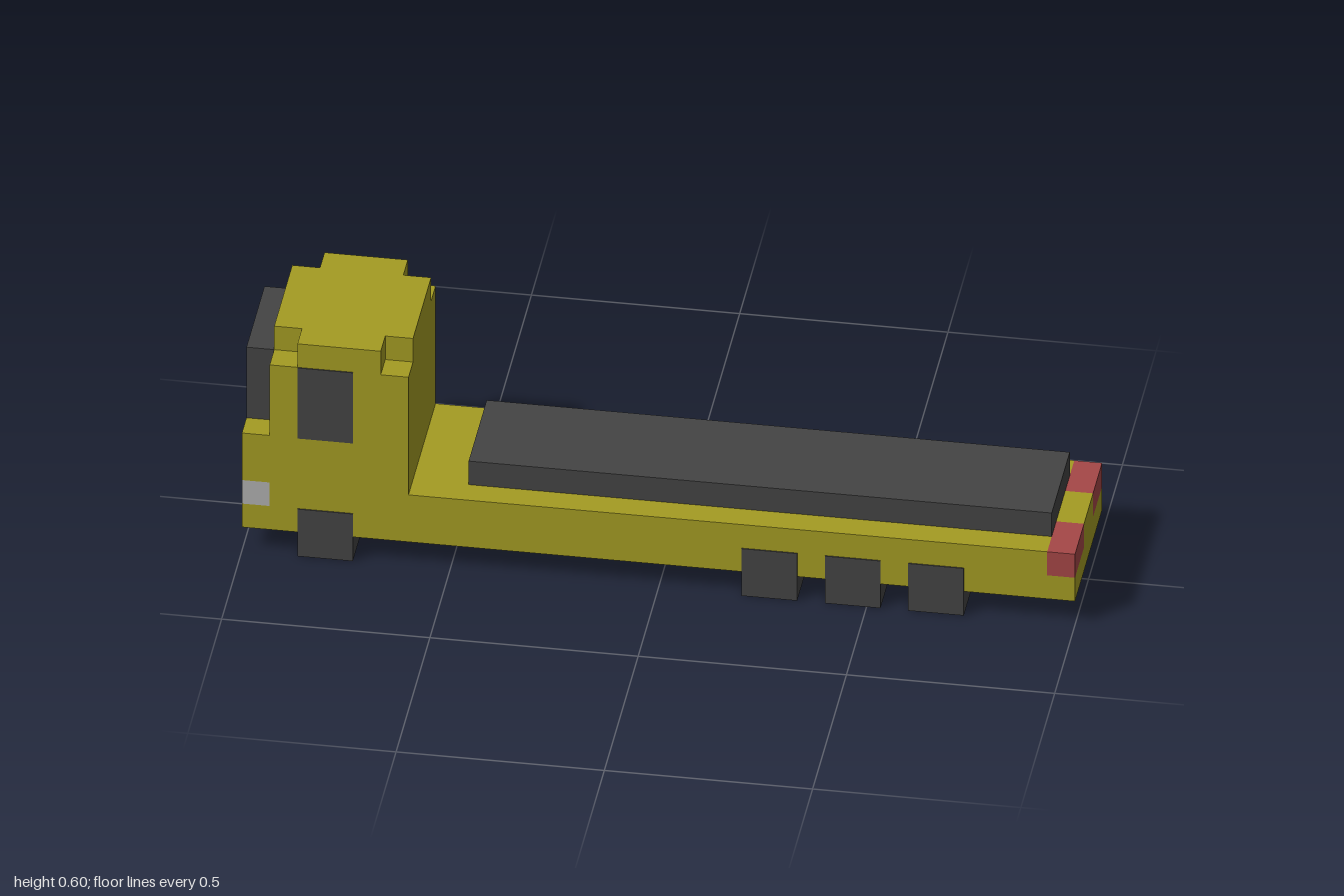
import * as THREE from 'three';

const U = 1 / 15; // size of one block

export function createModel() {
  const truck = new THREE.Group();
  truck.name = 'flatbedTruck';

  const paint = (name, color) => {
    const m = new THREE.MeshStandardMaterial({ color });
    m.name = name;
    return m;
  };
  const yellow = paint('yellowBody', 0xa49c23);
  const dark = paint('darkGrey', 0x444444);
  const red = paint('tailRed', 0xa54747);
  const silver = paint('lampGrey', 0xb0b0b0);

  // Box between block coordinates: x 0..30 from the cab end, y 0..9, z -3..3
  const block = (name, mat, [x0, x1], [y0, y1], [z0, z1]) => {
    const geo = new THREE.BoxGeometry((x1 - x0) * U, (y1 - y0) * U, (z1 - z0) * U);
    const mesh = new THREE.Mesh(geo, mat);
    mesh.position.set(((x0 + x1) / 2 - 15) * U, ((y0 + y1) / 2) * U, ((z0 + z1) / 2) * U);
    mesh.name = name;
    truck.add(mesh);
  };
  // The same box on both sides of the truck
  const pair = (name, mat, x, y, [z0, z1]) => {
    block(name + 'Front', mat, x, y, [z0, z1]);
    block(name + 'Back', mat, x, y, [-z1, -z0]);
  };

  // Chassis, leaving room for lamps at the four upper corners
  block('chassisLower', yellow, [0, 30], [1, 2], [-3, 3]);
  block('chassisUpper', yellow, [1, 29], [2, 3], [-3, 3]);
  block('cabEndPanel', yellow, [0, 1], [2, 3], [-1, 1]);
  block('tailPanel', yellow, [29, 30], [2, 3], [-1, 1]);
  pair('headlight', silver, [0, 1], [2, 3], [1, 3]);
  pair('tailLight', red, [29, 30], [2, 3], [1, 3]);

  // Cab with a raised windscreen block and notched roof corners
  block('cabNose', yellow, [0, 1], [3, 5], [-3, 3]);
  block('cabBody', yellow, [1, 6], [3, 8], [-3, 3]);
  block('windscreen', dark, [0, 1], [5, 8], [-2, 2]);
  block('roofCentre', yellow, [2, 5], [8, 9], [-3, 3]);
  block('roofFrontStrip', yellow, [1, 2], [8, 9], [-2, 2]);
  block('roofRearStrip', yellow, [5, 6], [8, 9], [-2, 2]);
  pair('sideWindow', dark, [2, 4], [5, 8], [2.98, 3.04]);

  // Load bed
  block('loadBed', dark, [8, 29], [3, 4], [-2, 2]);

  // Wheels, set into the chassis and just proud of its sides
  [2, 18, 21, 24].forEach((x, i) => pair('wheel' + (i + 1), dark, [x, x + 2], [0, 2], [1, 3.04]));

  return truck;
}
